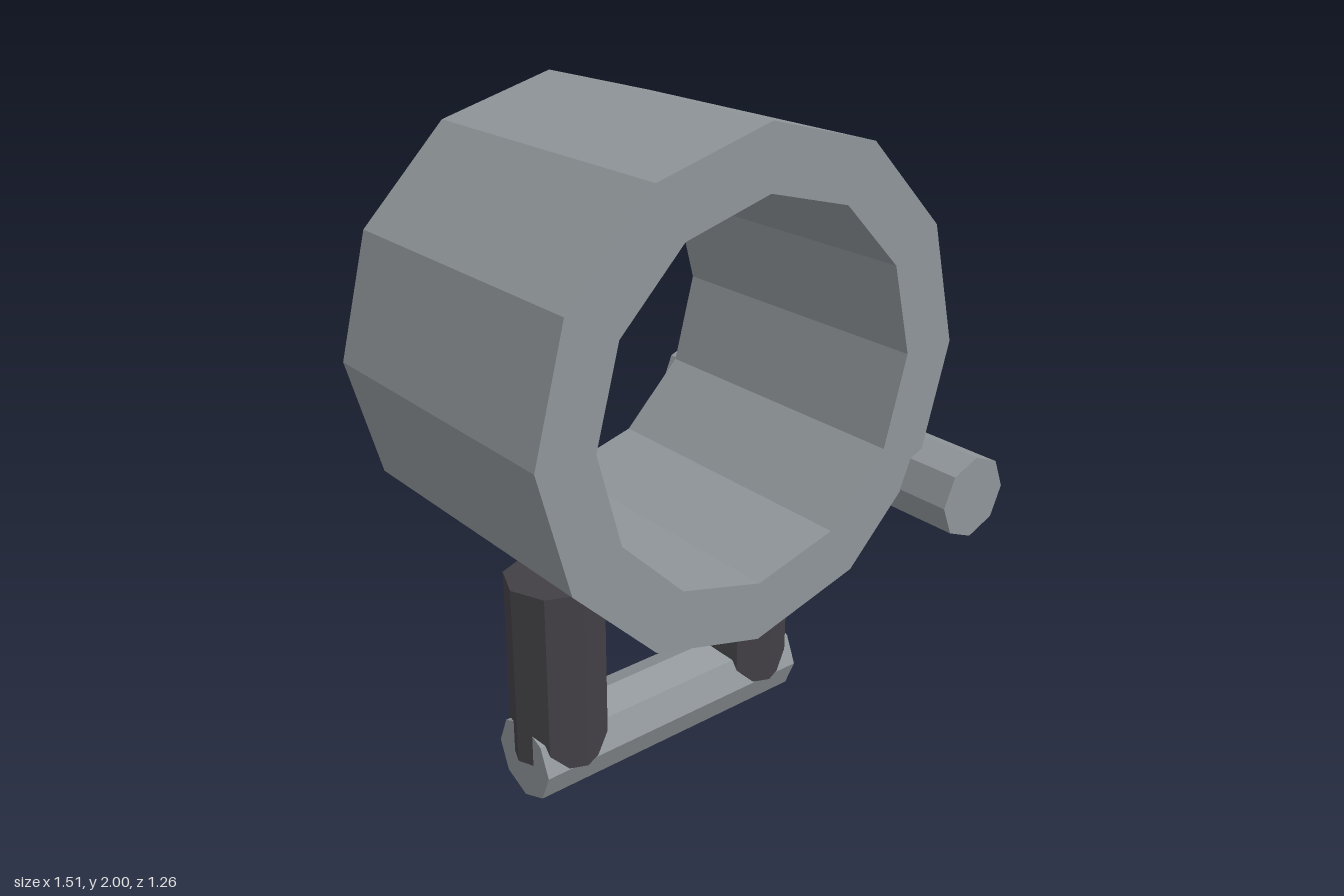
import * as THREE from 'three';

const steel = new THREE.MeshStandardMaterial({ name: 'steel grey', color: 0x8f9599, flatShading: true });
const dark = new THREE.MeshStandardMaterial({ name: 'dark grey', color: 0x424045, flatShading: true });

// Twelve-sided counter-clockwise outline with a corner at the top
function outline(radius, PathType) {
  const points = [];
  for (let i = 0; i < 12; i++) {
    const a = (i / 12) * Math.PI * 2;
    points.push(new THREE.Vector2(-Math.sin(a) * radius, Math.cos(a) * radius));
  }
  return new PathType(points);
}

// Eight-sided rod, upright unless turned
function rod(name, radius, length, material, x, y, z) {
  const mesh = new THREE.Mesh(new THREE.CylinderGeometry(radius, radius, length, 8), material);
  mesh.name = name;
  mesh.position.set(x, y, z);
  return mesh;
}

export function createModel() {
  const model = new THREE.Group();
  model.name = 'ringMount';

  // Open tube running front to back
  const depth = 0.93;
  const shape = outline(0.714, THREE.Shape);
  shape.holes.push(outline(0.538, THREE.Path));
  const ringGeometry = new THREE.ExtrudeGeometry(shape, { depth, bevelEnabled: false });
  ringGeometry.translate(0, 0, -depth / 2);
  const ring = new THREE.Mesh(ringGeometry, steel);
  ring.name = 'ring';
  ring.position.set(-0.043, 1.286, 0);
  model.add(ring);

  // Long rod along the side of the ring
  const sideRod = rod('sideRod', 0.125, 1.264, steel, 0.63, 0.865, 0);
  sideRod.rotation.x = Math.PI / 2;
  model.add(sideRod);

  // Crossbar at the base
  const baseBar = rod('baseBar', 0.126, 0.97, steel, -0.043, 0.126, 0);
  baseBar.rotation.z = Math.PI / 2;
  model.add(baseBar);

  // Two legs between the crossbar and the ring
  for (const side of [-1, 1]) {
    model.add(rod(side < 0 ? 'rightLeg' : 'leftLeg', 0.146, 0.57, dark, -0.044 + side * 0.358, 0.414, 0));
  }

  return model;
}
